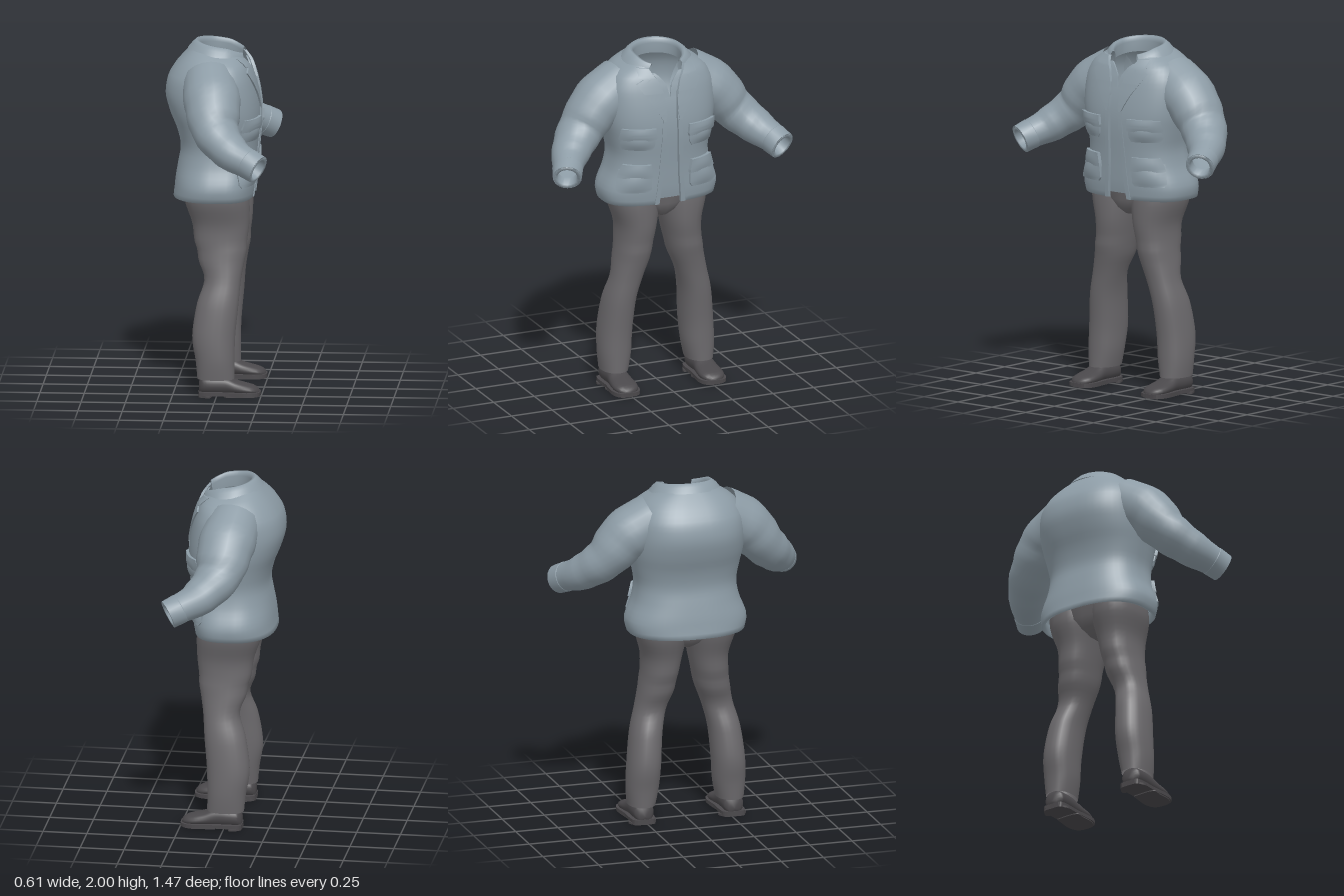
import * as THREE from 'three';
import { toCreasedNormals } from 'three/addons/utils/BufferGeometryUtils.js';

const V = (x, y, z) => new THREE.Vector3(x, y, z);
const material = (name, color) => {
  const m = new THREE.MeshStandardMaterial({ color, side: THREE.DoubleSide });
  m.name = name;
  return m;
};

// Smooth lookup in a table whose first column is an ascending key
function sample(rows, key) {
  let i = 0;
  while (i < rows.length - 2 && key > rows[i + 1][0]) i++;
  const at = (k) => rows[Math.min(Math.max(k, 0), rows.length - 1)];
  const [a, b, c, d] = [at(i - 1), at(i), at(i + 1), at(i + 2)];
  const t = THREE.MathUtils.clamp((key - b[0]) / (c[0] - b[0]), 0, 1);
  return b.map((_, k) => b[k] + 0.5 * t * (c[k] - a[k]
    + t * (2 * a[k] - 5 * b[k] + 4 * c[k] - d[k] + t * (3 * (b[k] - c[k]) + d[k] - a[k]))));
}
const steps = (a, b, n) => Array.from({ length: n + 1 }, (_, i) => a + (b - a) * i / n);
const power = (v, e) => Math.sign(v) * Math.abs(v) ** e;

// Skin a list of rings
function loft(rings, closed) {
  const n = rings[0].length, index = [];
  for (let i = 0; i < rings.length - 1; i++) {
    for (let j = 0; j < (closed ? n : n - 1); j++) {
      const k = (j + 1) % n, a = i * n + j, b = i * n + k;
      index.push(a, a + n, b, b, a + n, b + n);
    }
  }
  const g = new THREE.BufferGeometry().setFromPoints(rings.flat());
  g.setIndex(index);
  g.computeVertexNormals();
  return g;
}
const mirrored = (rings) => rings.map((r) => r.map((p) => V(p.x, p.y, -p.z)).reverse());

// Jacket body: height, back x, front x, half width
const BODY = [
  [1.115, -0.26, 0.195, 0.333], [1.17, -0.253, 0.203, 0.347], [1.22, -0.248, 0.207, 0.337], [1.3, -0.235, 0.212, 0.304],
  [1.4, -0.22, 0.22, 0.288], [1.5, -0.24, 0.23, 0.305], [1.6, -0.28, 0.232, 0.325],
  [1.7, -0.305, 0.22, 0.33], [1.8, -0.29, 0.198, 0.32], [1.87, -0.245, 0.175, 0.285],
  [1.92, -0.2, 0.158, 0.24], [1.955, -0.165, 0.145, 0.185],
];
// Half width of the front opening by height
const GAP = [[1.115, 0.07], [1.3, 0.052], [1.5, 0.042], [1.65, 0.035], [1.78, 0.045], [1.87, 0.08], [1.955, 0.11]];

function bodyPoint(y, angle, offset = 0) {
  const [, back, front, w] = sample(BODY, y);
  const c = Math.cos(angle), s = Math.sin(angle), cx = -0.02;
  const x = c > 0 ? cx + (front - cx) * c ** 0.65 : cx - (cx - back) * (-c) ** 0.9;
  const tilt = 0.1 * THREE.MathUtils.smoothstep(y, 1.85, 1.955);
  return V(x + c * offset, y - tilt * (x + 0.165), w * power(s, 0.8) + s * offset);
}
function bodyAngle(y, z) {
  const w = sample(BODY, y)[3];
  return Math.sign(z) * Math.asin(Math.min(1, Math.abs(z) / w) ** 1.25);
}

// Raised panel following the jacket front; rows are height, inner z, outer z
function panelRings(rows, base, thick, bulge = 0) {
  const lo = rows[0][0], hi = rows[rows.length - 1][0], cols = 8;
  const ys = [...new Set([...steps(lo, hi, 8), ...rows.map((r) => r[0])])].sort((a, b) => a - b);
  const ring = (y, edge) => {
    const k = Math.max(1, rows.findIndex((r) => r[0] >= y));
    const [a, b] = [rows[k - 1], rows[k]], t = (y - a[0]) / (b[0] - a[0]);
    const zs = steps(a[1] + (b[1] - a[1]) * t, a[2] + (b[2] - a[2]) * t, cols);
    const v = Math.sin(Math.PI * (y - lo) / (hi - lo));
    const point = (z, off) => bodyPoint(y, bodyAngle(y, z), off);
    const top = zs.map((z, j) => point(z, edge ? base : base + thick + bulge * v * Math.sin(Math.PI * j / cols)));
    return [point(zs[0], base), ...top, point(zs[cols], base)];
  };
  return [ring(lo, true), ...ys.map((y) => ring(y)), ring(hi, true)];
}

export function createModel() {
  const model = new THREE.Group();
  const cloth = material('jacketGreyBlue', 0x8d9ca6);
  const wool = material('trouserGrey', 0x6b696c);
  const leather = material('shoeCharcoal', 0x4a484b);
  const add = (name, geometry, mat) => {
    const m = new THREE.Mesh(geometry, mat);
    m.name = name;
    model.add(m);
  };
  const pair = (name, rings, mat, closed, crease) => {
    for (const [side, r] of [['left', rings], ['right', mirrored(rings)]]) {
      const g = loft(r, closed);
      add(side + name, crease ? toCreasedNormals(g, 0.6) : g, mat);
    }
  };
  const panel = (name, rows, base, thick, bulge) => pair(name, panelRings(rows, base, thick, bulge), cloth, false, true);

  // Jacket body, open down the front, with a turned-in hem
  const bodyRings = steps(1.115, 1.955, 30).map((y) => {
    const a = bodyAngle(y, sample(GAP, y)[1]);
    return steps(a, 2 * Math.PI - a, 48).map((t) => bodyPoint(y, t));
  });
  const hem = [0.055, 0.005].map((lift) => bodyRings[0].map((p) => V(p.x * 0.94, p.y + lift, p.z * 0.95)));
  add('jacketBody', loft([...hem, ...bodyRings], false), cloth);

  // Inner closing and opening edges
  add('innerPlacket', loft(panelRings([[1.145, -0.085, 0.085], [1.76, -0.07, 0.07]], -0.022, 0.006), false), cloth);
  panel('InnerNeckEdge', [[1.75, 0.001, 0.06], [1.82, 0.015, 0.075], [1.9, 0.075, 0.12]], -0.018, 0.008);
  panel('FrontEdge', GAP.slice(0, 5).map(([y, g]) => [y, g - 0.004, g + 0.022]), -0.012, 0.018);

  // Notched lapels
  panel('Lapel', [[1.62, 0.04, 0.055], [1.66, 0.036, 0.075], [1.72, 0.035, 0.11], [1.78, 0.043, 0.152],
    [1.84, 0.062, 0.19], [1.865, 0.075, 0.148], [1.88, 0.083, 0.172], [1.945, 0.105, 0.165]], -0.006, 0.016);

  // Pockets with flaps
  panel('ChestPocket', [[1.455, 0.12, 0.265], [1.48, 0.105, 0.275], [1.56, 0.1, 0.275]], -0.005, 0.012, 0.014);
  panel('ChestFlap', [[1.515, 0.1, 0.278], [1.53, 0.095, 0.28], [1.585, 0.1, 0.275]], -0.005, 0.021, 0.006);
  panel('HipPocket', [[1.2, 0.13, 0.29], [1.22, 0.115, 0.3], [1.33, 0.115, 0.275]], -0.005, 0.016, 0.014);
  panel('HipFlap', [[1.285, 0.11, 0.282], [1.3, 0.11, 0.278], [1.365, 0.12, 0.258]], -0.005, 0.024, 0.006);

  // Folded collar: back x, front x, half width, height at the back
  const collar = [[-0.18, 0.17, 0.205, 1.952], [-0.155, 0.163, 0.18, 1.982], [-0.135, 0.157, 0.154, 2.0],
    [-0.118, 0.15, 0.14, 1.995], [-0.11, 0.144, 0.134, 1.97], [-0.115, 0.144, 0.14, 1.91]];
  add('collar', loft(collar.map(([back, front, w, y]) => steps(0.62, 2 * Math.PI - 0.62, 44).map((t) => {
    const c = Math.cos(t);
    const x = c > 0 ? front * c ** 0.75 : -back * c;
    return V(x, y - 0.15 * (x - back) - 0.25 * Math.max(0, x - 0.05), w * Math.sin(t));
  })), false), cloth);

  // Sleeves: step, centre x y z, horizontal radius, vertical radius
  const sleeve = [[0, -0.045, 1.79, 0.19, 0.152, 0.15], [1, -0.02, 1.695, 0.35, 0.16, 0.148],
    [2, 0.01, 1.555, 0.472, 0.135, 0.12], [3, 0.105, 1.458, 0.575, 0.108, 0.1],
    [3.6, 0.192, 1.416, 0.628, 0.086, 0.084], [4, 0.262, 1.383, 0.662, 0.08, 0.08]];
  const sleeveRing = (k, scale = 1) => {
    const p = sample(sleeve, k), a = sample(sleeve, k - 0.05), b = sample(sleeve, Math.min(4, k + 0.05));
    const t = V(b[1] - a[1], b[2] - a[2], b[3] - a[3]).normalize();
    const u = V(0, 1, 0).cross(t).normalize(), v = t.clone().cross(u);
    const fold = scale * (1 + 0.02 * Math.sin(k * 9) * Math.max(0, Math.sin(k * 0.8)));
    return steps(0, 2 * Math.PI, 20).slice(1).map((q) => V(p[1], p[2], p[3])
      .addScaledVector(u, Math.cos(q) * p[4] * fold)
      .addScaledVector(v, -Math.sin(q) * p[5] * fold));
  };
  pair('Sleeve', [...steps(0, 4, 24).map((k) => sleeveRing(k)), sleeveRing(4, 0.72), sleeveRing(3.7, 0.68)], cloth, true);
  pair('Cuff', [sleeveRing(3.62, 0.98), sleeveRing(3.64, 1.03), sleeveRing(4, 1.03), sleeveRing(4, 0.9)], cloth, true, true);

  // Trousers: height, back x, front x, inner z, outer z
  const leg = [[0.1, -0.11, 0.1, 0.185, 0.338], [0.2, -0.12, 0.1, 0.165, 0.347], [0.34, -0.14, 0.103, 0.155, 0.342],
    [0.52, -0.115, 0.12, 0.14, 0.32], [0.655, -0.075, 0.132, 0.108, 0.285], [0.76, -0.11, 0.15, 0.068, 0.265],
    [0.82, -0.118, 0.162, 0.055, 0.256], [0.87, -0.135, 0.163, 0.045, 0.25], [0.97, -0.148, 0.175, 0.025, 0.25],
    [1.1, -0.19, 0.177, 0.002, 0.285], [1.2, -0.19, 0.165, 0.002, 0.28]];
  const oval = (y, x0, x1, z0, z1) => steps(0, 2 * Math.PI, 24).slice(1).map((t) => V(
    (x0 + x1) / 2 + (x1 - x0) / 2 * power(Math.cos(t), 0.9), y,
    (z0 + z1) / 2 + (z1 - z0) / 2 * power(Math.sin(t), 0.9)));
  pair('TrouserLeg', steps(0.1, 1.2, 36).map((y) => oval(...sample(leg, y))), wool, true);
  const seat = [[1.01, 0.03, 0.03, 0, 0], [1.015, -0.07, 0.11, -0.045, 0.045], [1.05, -0.135, 0.15, -0.1, 0.1],
    [1.1, -0.175, 0.172, -0.19, 0.19], [1.2, -0.19, 0.186, -0.27, 0.27]];
  add('trouserSeat', loft(seat.map((r) => oval(...r)), true), wool);

  // Shoes: x, half width, height
  const shoe = [[-0.098, 0.035, 0.09], [-0.08, 0.056, 0.115], [-0.03, 0.063, 0.12], [0.05, 0.062, 0.118],
    [0.11, 0.069, 0.092], [0.17, 0.073, 0.075], [0.215, 0.06, 0.062], [0.238, 0.03, 0.045]];
  const shoeRing = ([x, w, h]) => steps(0, 2 * Math.PI, 18).slice(1).map((t) => V(x,
    0.015 + (h - 0.015) * (0.5 + 0.5 * Math.cos(t)), 0.265 + w * power(Math.sin(t), 0.75)));
  const tip = (x, y) => shoeRing([x, 0, 0.015]).map((p) => V(p.x, y, p.z));
  pair('ShoeUpper', [tip(-0.1, 0.045), ...steps(-0.098, 0.238, 20).map((x) => shoeRing(sample(shoe, x))), tip(0.241, 0.03)]
    .map((r) => r.reverse()), leather, true);

  // Welted soles with a low heel
  const edge = shoe.map(([x, w]) => new THREE.Vector2(x * 1.03, w + 0.009));
  const soleShape = (pts) => new THREE.Shape(new THREE.SplineCurve(
    [...pts, ...pts.slice().reverse().map((p) => new THREE.Vector2(p.x, -p.y)), pts[0]]).getPoints(48));
  for (const [side, s] of [['left', 1], ['right', -1]]) {
    for (const [name, pts, y, depth] of [['Sole', edge, 0.01, 0.02], ['Heel', edge.slice(0, 3), 0, 0.012],
      ['Tread', edge.slice(3).map((p) => new THREE.Vector2(p.x - 0.006, p.y - 0.006)), 0.004, 0.008]]) {
      const g = new THREE.ExtrudeGeometry(soleShape(pts), { depth, bevelEnabled: false });
      add(side + name, g.rotateX(-Math.PI / 2).translate(0, y, s * 0.265), leather);
    }
  }
  return model;
}
